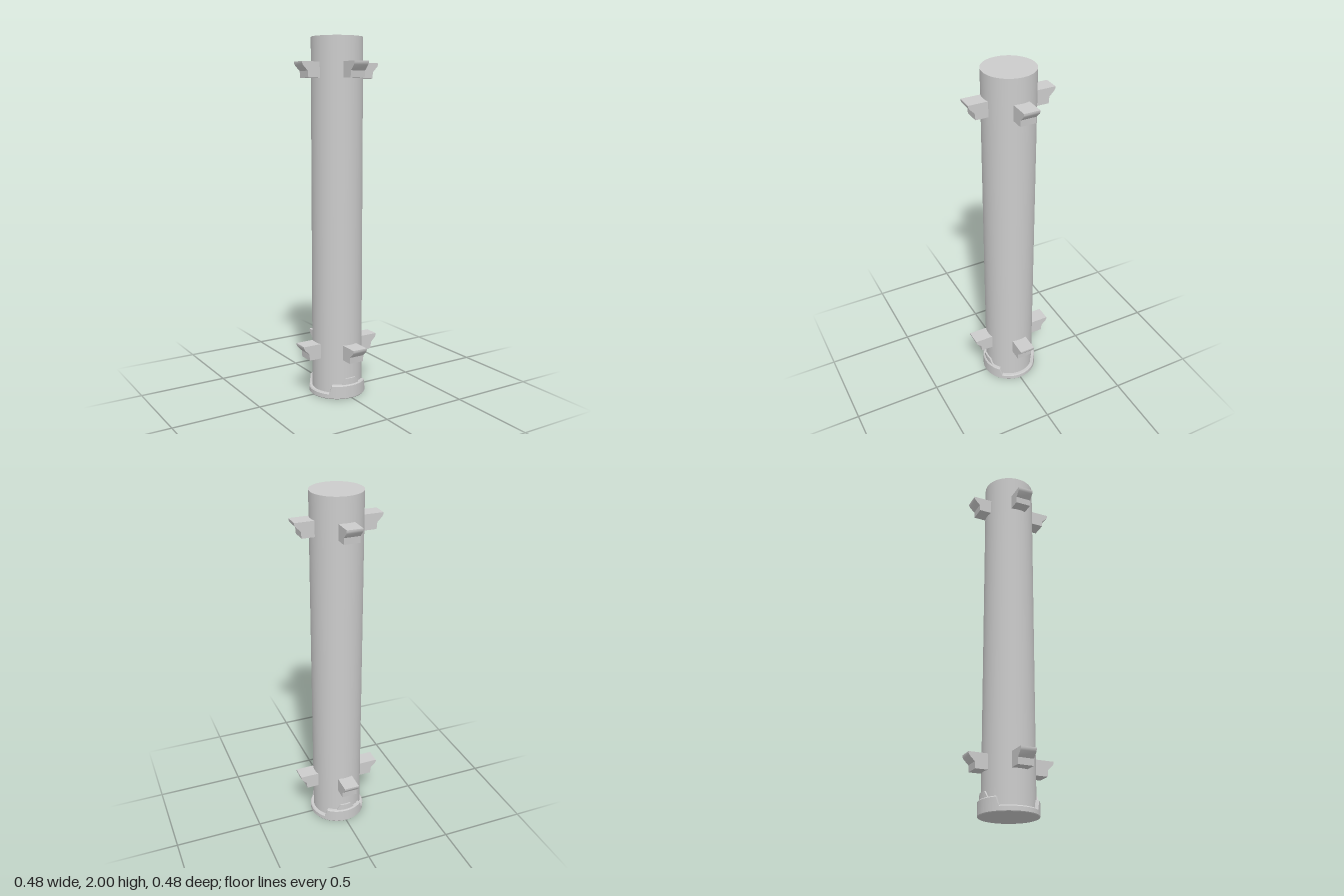
import * as THREE from 'three';
import { toCreasedNormals } from 'three/addons/utils/BufferGeometryUtils.js';

const material = new THREE.MeshStandardMaterial({ color: 0xcccccc });

function part(name, geometry) {
  const mesh = new THREE.Mesh(geometry, material);
  mesh.name = name;
  return mesh;
}

// Collar height by angle in degrees away from the nearest z direction:
// a tall stepped guard at front and back, a low rim at the sides.
const steps = [[0, 0.115], [12, 0.115], [21, 0.08], [42, 0.08], [48, 0.033], [90, 0.033]];
function collarHeight(deg) {
  let d = deg % 180;
  if (d > 90) d = 180 - d;
  const k = Math.max(1, steps.findIndex(([a]) => a >= d));
  const [a0, h0] = steps[k - 1];
  const [a1, h1] = steps[k];
  return h0 + (h1 - h0) * (d - a0) / (a1 - a0);
}

function collarGeometry() {
  const segments = 120;
  const positions = [];
  const indices = [];
  let rings = 0;
  for (let i = 0; i <= segments; i++) {
    const deg = i * 360 / segments;
    const a = THREE.MathUtils.degToRad(deg);
    const h = collarHeight(deg);
    const shoulder = Math.min(h, 0.08);
    // Radius and height from the underside centre up to the column wall
    const section = [
      [0, 0], [0.158, 0], [0.161, 0.004], [0.161, shoulder - 0.006],
      [0.156, shoulder], [0.152, shoulder], [0.152, h], [0.138, h],
    ];
    rings = section.length;
    for (const [r, y] of section) positions.push(r * Math.sin(a), y, r * Math.cos(a));
  }
  for (let i = 0; i < segments; i++) {
    for (let j = 0; j < rings - 1; j++) {
      const p = i * rings + j;
      const q = p + rings;
      indices.push(p, q, q + 1, p, q + 1, p + 1);
    }
  }
  const geometry = new THREE.BufferGeometry();
  geometry.setAttribute('position', new THREE.Float32BufferAttribute(positions, 3));
  geometry.setIndex(indices);
  return toCreasedNormals(geometry, 0.6);
}

// Side profile of a lug, flared outward at its top lip
function lugGeometry() {
  const width = 0.088;
  const profile = [
    [0.12, 0], [0.205, 0], [0.208, 0.036], [0.236, 0.064],
    [0.242, 0.075], [0.242, 0.085], [0.12, 0.085],
  ].map(([x, y]) => new THREE.Vector2(x, y));
  const geometry = new THREE.ExtrudeGeometry(new THREE.Shape(profile), { depth: width, bevelEnabled: false });
  geometry.translate(0, 0, -width / 2);
  return toCreasedNormals(geometry, 0.6);
}

export function createModel() {
  const model = new THREE.Group();
  model.name = 'luggedColumn';

  // Column shaft
  const shaft = part('shaft', new THREE.CylinderGeometry(0.142, 0.142, 1.99, 64));
  shaft.position.y = 1.005;
  model.add(shaft);

  // Base collar with front and back guards
  model.add(part('baseCollar', collarGeometry()));

  // Two rows of four lugs
  const lug = lugGeometry();
  for (const [row, y] of [['lower', 0.222], ['upper', 1.78]]) {
    const group = new THREE.Group();
    group.name = `${row}Lugs`;
    group.position.y = y;
    for (let i = 0; i < 4; i++) {
      const mesh = part(`${row}Lug`, lug);
      mesh.rotation.y = i * Math.PI / 2;
      group.add(mesh);
    }
    model.add(group);
  }
  return model;
}
